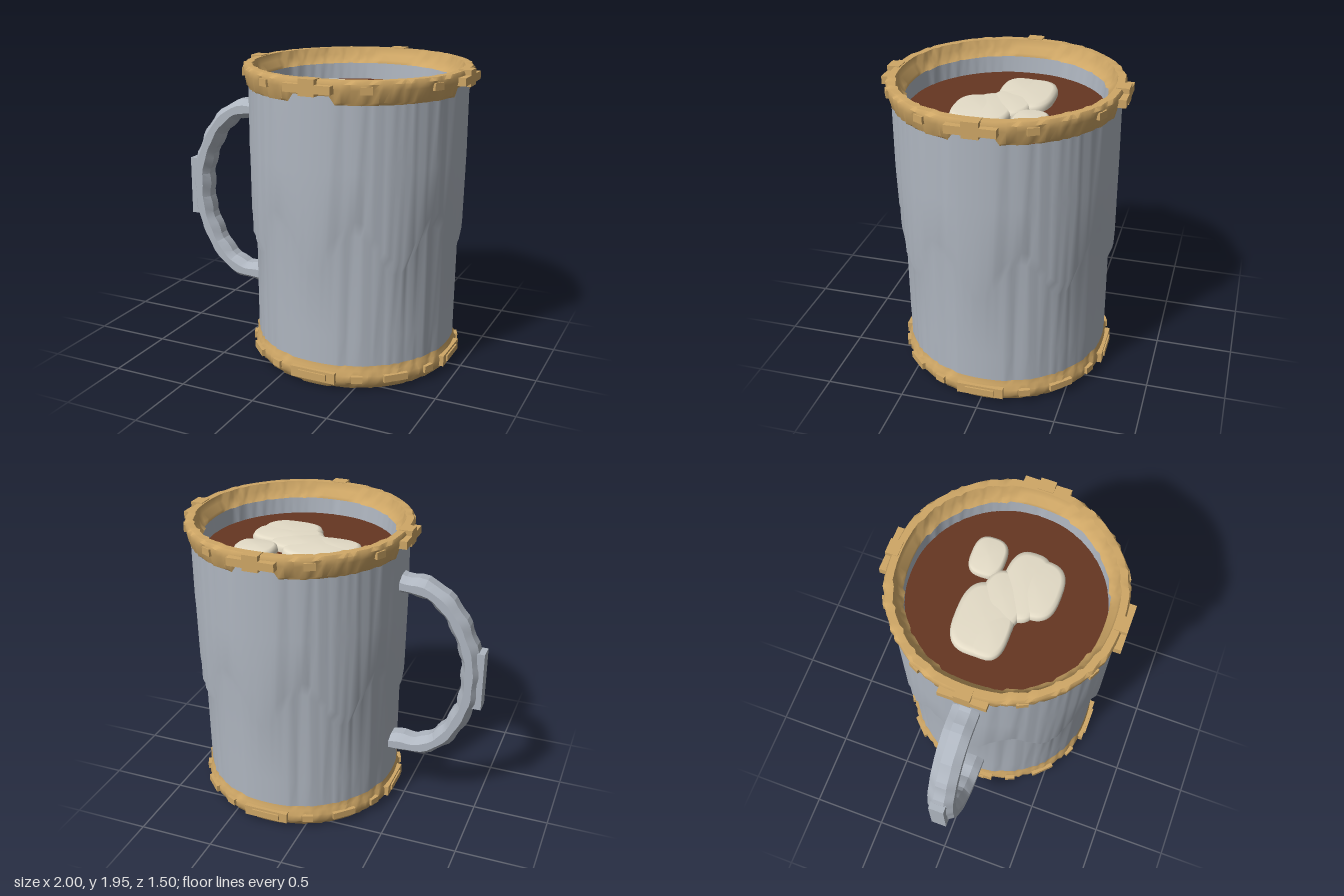
import * as THREE from 'three';
import { toCreasedNormals } from 'three/addons/utils/BufferGeometryUtils.js';

const CX = 0.25; // axis of the cup
const material = (name, color) => Object.assign(new THREE.MeshStandardMaterial({ color }), { name });

// Pull a coordinate part of the way to a coarse grid, for the stepped block look.
const snap = (v, cell, k) => v + (Math.round(v / cell) * cell - v) * k;

// Grid of points(i, j): i runs round the loop, j along it.
function skin(n, m, point, crease, closed = true) {
  const pos = [], idx = [];
  for (let i = 0; i < n; i++) for (let j = 0; j < m; j++) pos.push(...point(i, j));
  for (let i = 0; i < (closed ? n : n - 1); i++) {
    for (let j = 0; j < m - 1; j++) {
      const a = i * m + j, b = ((i + 1) % n) * m + j;
      idx.push(a, a + 1, b, b, a + 1, b + 1);
    }
  }
  const g = new THREE.BufferGeometry();
  g.setAttribute('position', new THREE.Float32BufferAttribute(pos, 3));
  g.setIndex(idx);
  g.computeVertexNormals();
  return crease ? toCreasedNormals(g, crease) : g;
}

// Turned ring whose profile may vary with the angle.
function ring(profile, k, crease) {
  const n = 144, m = profile(0).length;
  return skin(n, m, (i, j) => {
    const t = (i / n) * Math.PI * 2, [r, y] = profile(t)[j];
    return [CX + snap(r * Math.cos(t), 0.05, k), y, snap(r * Math.sin(t), 0.05, k)];
  }, crease);
}

// Angle away from the nearest of the four main directions, 0 to PI/4.
const offAxis = (t) => {
  const q = Math.PI / 2;
  return Math.abs(t - Math.round(t / q) * q);
};

export function createModel() {
  const group = new THREE.Group();
  const metal = material('grey metal', 0xafb6c0);
  const gold = material('gold trim', 0xcfa766);
  const brown = material('brown drink', 0x663622);
  const cream = material('cream foam', 0xe4dcc7);
  const add = (name, geometry, mat, parent = group) => {
    const mesh = new THREE.Mesh(geometry, mat);
    mesh.name = name;
    parent.add(mesh);
    return mesh;
  };

  // Cup wall, narrower below an uneven step
  const trimEdge = (t) => (offAxis(t) < 0.2 ? 1.85 : 1.8);
  add('cupWall', ring((t) => {
    const h = 0.93 - 0.13 * Math.cos(8 * t);
    return [[0.65, 0.155], [0.652, 0.35], [0.656, h - 0.05], [0.688, h + 0.05], [0.692, 1.4], [0.692, trimEdge(t)]];
  }, 0.25), metal);
  add('innerWall', ring(() => [[0.625, 1.855], [0.612, 1.7]], 0.2), metal);
  const base = add('cupBase', new THREE.CircleGeometry(0.64, 48), metal);
  base.rotation.x = Math.PI / 2;
  base.position.set(CX, 0.002, 0);

  // Gold bands
  add('rim', ring((t) => {
    const e = trimEdge(t), w = offAxis(t) < 0.2 ? 0.615 : 0.63;
    return [[0.692, e], [0.7, e + 0.015], [0.72, 1.89], [0.722, 1.925], [0.708, 1.945],
      [0.665, 1.945], [0.65, 1.9], [w, 1.865], [0.61, 1.845]];
  }, 0.3, 0.8), gold);
  add('footBand', ring(() => [[0.632, 0], [0.65, 0.02], [0.67, 0.055], [0.672, 0.095], [0.656, 0.125], [0.65, 0.157]],
    0.25, 0.8), gold);

  // Raised blocks round both bands
  const block = (name, angle, r, y, w, h, d) => {
    const mesh = add(name, new THREE.BoxGeometry(w, h, d), gold);
    mesh.position.set(CX + Math.sin(angle) * (r - d / 2), y, Math.cos(angle) * (r - d / 2));
    mesh.rotation.y = angle;
  };
  for (let i = 0; i < 4; i++) {
    const a = (i * Math.PI) / 2;
    block('rimTabWide', a, 0.75, 1.893, 0.3, 0.05, 0.08);
    block('rimTabTall', a, 0.75, 1.9, 0.1, 0.1, 0.08);
    block('footTabWide', a, 0.69, 0.08, 0.19, 0.04, 0.06);
    block('footTabLong', a, 0.68, 0.08, 0.3, 0.07, 0.06);
    for (const s of [-1, 1]) {
      block('rimStud', a + s * 0.47, 0.732, 1.89, 0.07, 0.045, 0.05);
      block('footStud', a + s * 0.42, 0.69, 0.08, 0.07, 0.045, 0.05);
    }
    block('footStud', a + Math.PI / 4, 0.69, 0.08, 0.16, 0.045, 0.05);
  }

  // Drink surface
  const drink = add('drink', new THREE.CircleGeometry(0.615, 64), brown);
  drink.rotation.x = -Math.PI / 2;
  drink.position.set(CX, 1.735, 0);

  // Foam lumps: softened ovals with a flat rounded top, [x, z, half width, half depth]
  const lumps = [[0.08, -0.08, 0.24, 0.18], [0.02, -0.02, 0.18, 0.12], [0.24, -0.02, 0.19, 0.14],
    [0.365, 0.07, 0.235, 0.14], [0.375, 0.14, 0.2, 0.165], [0.475, -0.2, 0.135, 0.11]];
  const dome = [[1, 1.73], [1, 1.755], [0.95, 1.775], [0.82, 1.785], [0, 1.787]];
  const foam = new THREE.Group();
  foam.name = 'foam';
  group.add(foam);
  const soft = (v) => Math.sign(v) * Math.abs(v) ** 0.7;
  for (const [x, z, w, d] of lumps) {
    add('foamLump', skin(40, dome.length, (i, j) => {
      const t = (i / 40) * Math.PI * 2, [s, y] = dome[j];
      return [x + soft(Math.cos(t)) * w * s, y, z + soft(Math.sin(t)) * d * s];
    }), cream, foam);
  }

  // Handle: faceted bar of eight sides along a curve
  const path = new THREE.CatmullRomCurve3([[-0.38, 1.6], [-0.47, 1.59], [-0.62, 1.57], [-0.76, 1.46], [-0.85, 1.31],
    [-0.905, 1.15], [-0.915, 1], [-0.905, 0.85], [-0.85, 0.69], [-0.76, 0.54], [-0.62, 0.44], [-0.47, 0.43],
    [-0.36, 0.42]].map(([x, y]) => new THREE.Vector3(x, y, 0)));
  const steps = 44;
  add('handle', skin(steps, 9, (i, j) => {
    const u = i / (steps - 1), p = path.getPointAt(u), tan = path.getTangentAt(u);
    const a = -((j + 0.5) / 8) * Math.PI * 2;
    const thick = (0.062 + (i % 4 < 2 ? 0.006 : -0.004)) * Math.cos(a) * 1.05;
    return [p.x + tan.y * thick, p.y - tan.x * thick, 0.093 * Math.sin(a)];
  }, 0.25, false), metal);
  const grip = add('handleGrip', new THREE.BoxGeometry(0.07, 0.4, 0.1), metal);
  grip.position.set(-0.965, 1, 0);

  return group;
}
